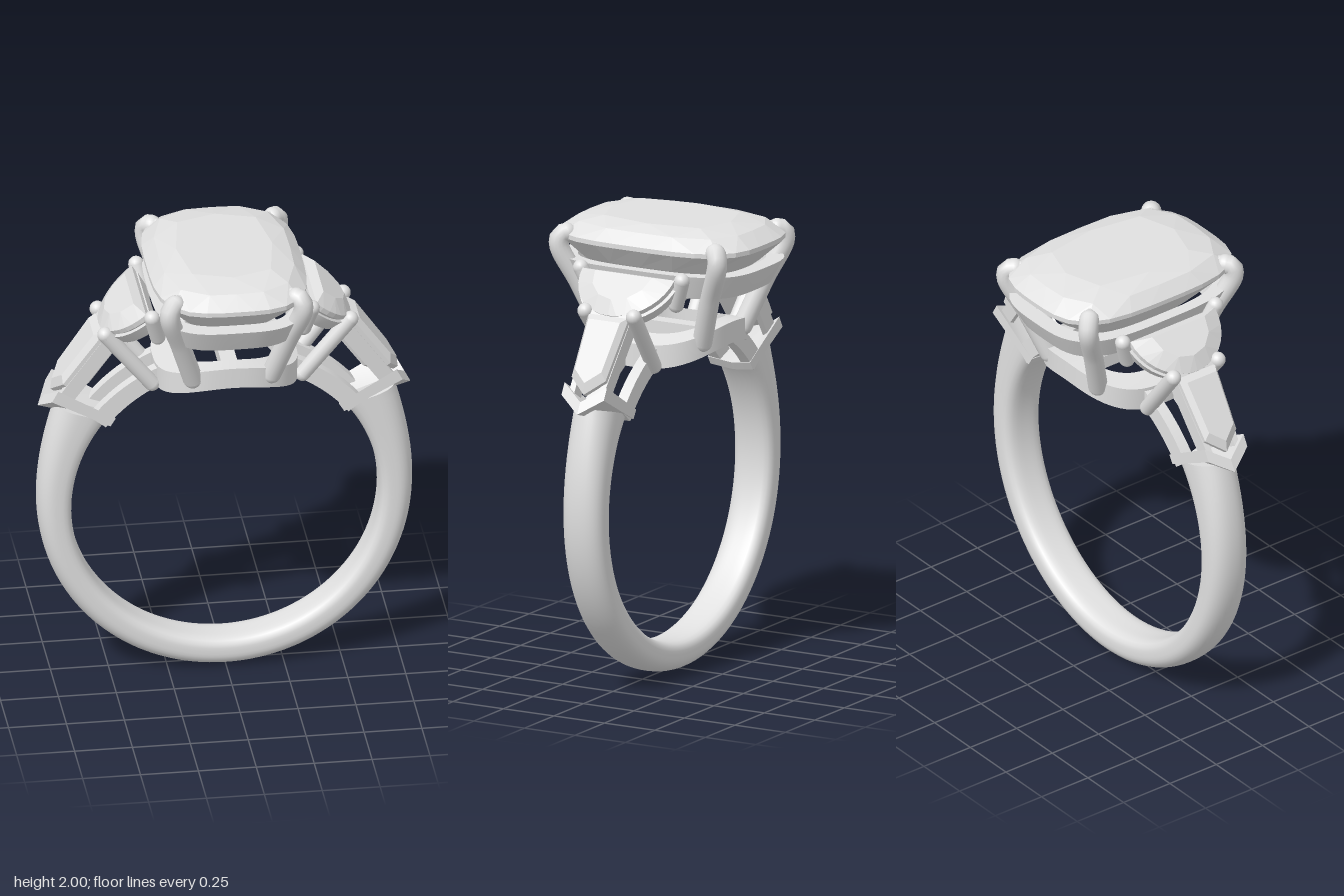
import * as THREE from 'three';
import { mergeGeometries, toCreasedNormals } from 'three/addons/utils/BufferGeometryUtils.js';

const V = (x, y, z) => new THREE.Vector3(x, y, z);

// Solid skinned over cross-sections; wrap joins last to first, otherwise the ends are capped.
function loft(sections, { wrap = false, crease = 0.6 } = {}) {
  const n = sections[0].length, m = sections.length, pts = sections.flat(), idx = [];
  for (let j = 0; j < (wrap ? m : m - 1); j++) {
    for (let i = 0; i < n; i++) {
      const a = j * n + i, b = j * n + (i + 1) % n;
      const c = ((j + 1) % m) * n + i, d = ((j + 1) % m) * n + (i + 1) % n;
      idx.push(a, b, d, a, d, c);
    }
  }
  if (!wrap) {
    for (const j of [0, m - 1]) {
      const mid = sections[j].reduce((s, p) => s.add(p), V(0, 0, 0)).divideScalar(n);
      const k = pts.push(mid) - 1;
      for (let i = 0; i < n; i++) {
        const a = j * n + i, b = j * n + (i + 1) % n;
        if (j === 0) idx.push(k, b, a); else idx.push(k, a, b);
      }
    }
  }
  // Turn the faces outward using the signed volume
  let volume = 0;
  for (let i = 0; i < idx.length; i += 3) {
    volume += pts[idx[i]].dot(V(0, 0, 0).crossVectors(pts[idx[i + 1]], pts[idx[i + 2]]));
  }
  if (volume < 0) idx.reverse();
  const g = new THREE.BufferGeometry().setFromPoints(pts);
  g.setIndex(idx);
  if (crease > 0) return toCreasedNormals(g, crease);
  const flat = g.toNonIndexed();
  flat.computeVertexNormals();
  return flat;
}

// Rings are [scale, height, snap]; snapping merges neighbouring corners into triangular facets.
function ringSections(outline, n, rings) {
  return rings.map(([s, h, snap = 1]) => Array.from({ length: n }, (_, i) =>
    outline(Math.round(i / snap) * snap, s, h)));
}

// Round rod with rounded ends along a path
function rod(points, radius) {
  const path = new THREE.CatmullRomCurve3(points);
  const ball = p => new THREE.SphereGeometry(radius, 16, 12).translate(p.x, p.y, p.z);
  return mergeGeometries([
    new THREE.TubeGeometry(path, points.length > 2 ? 24 : 2, radius, 16),
    ball(points[0]), ball(points[points.length - 1]),
  ]);
}

export function createModel() {
  const root = new THREE.Group();
  const metal = new THREE.MeshStandardMaterial({ color: 0xe0e0e0 });
  metal.name = 'polished metal';
  const gem = new THREE.MeshStandardMaterial({ color: 0xe0e0e0 });
  gem.name = 'clear stone';
  const add = (name, geometry, material = metal) => {
    const mesh = new THREE.Mesh(geometry, material);
    mesh.name = name;
    root.add(mesh);
  };
  const CY = 0.8, R = 0.665; // finger hole

  // Shank: thickens towards the shoulders
  const shank = [];
  for (let j = 0; j <= 96; j++) {
    const t = j / 48 - 1, k = Math.abs(t);
    const outer = 0.8 + 0.088 * k ** 7, half = (outer - R) / 2;
    shank.push(Array.from({ length: 32 }, (_, i) => {
      const a = i / 32 * Math.PI * 2, c = Math.cos(a), s = Math.sin(a);
      const e = c > 0 ? 2.3 : 4;
      const q = (Math.abs(c) ** e + Math.abs(s) ** e) ** (-1 / e);
      const r = R + half + half * c * q;
      const end = THREE.MathUtils.degToRad(127 - 3 * c * q);
      const f = -Math.PI / 2 + t * end;
      return V(Math.cos(f) * r, CY + Math.sin(f) * r, 0.095 * s * q);
    }));
  }
  add('shank', loft(shank));

  // Cushion outline shared by the centre stone and its gallery
  const cushion = n => (i, s, h) => {
    const a = i / n * Math.PI * 2, c = Math.cos(a), d = Math.sin(a);
    const q = s * (Math.abs(c) ** 3.4 + Math.abs(d) ** 3.4) ** (-1 / 3.4);
    return V(0.335 * c * q, h, 0.47 * d * q);
  };
  add('centreStone', loft(ringSections(cushion(32), 32, [
    [0.62, 2.0, 4], [0.85, 1.975, 2], [1, 1.925], [1, 1.905],
    [0.8, 1.82, 2], [0.48, 1.7, 4], [0.02, 1.6, 4],
  ]), { crease: 0 }), gem);
  add('upperGallery', loft(ringSections(cushion(64), 64,
    [[0.99, 1.82], [0.97, 1.8], [0.88, 1.715], [0.75, 1.715], [0.83, 1.82]]), { wrap: true }));

  // Lower gallery: oval ring bent over the finger hole, with a cross strap
  const bentOval = (i, s, r) => {
    const a = i / 64 * Math.PI * 2, c = Math.cos(a), d = Math.sin(a);
    const q = s * (Math.abs(c) ** 2.6 + Math.abs(d) ** 2.6) ** (-1 / 2.6);
    const x = 0.31 * c * q;
    return V(x, CY + Math.sqrt(r * r - x * x), 0.295 * d * q);
  };
  add('lowerGallery', loft(ringSections(bentOval, 64,
    [[1, 0.758], [1, R], [0.72, R], [0.72, 0.758]]), { wrap: true }));
  add('galleryStrap', new THREE.BoxGeometry(0.07, 0.06, 0.5).translate(0, 1.497, 0));

  for (const sx of [1, -1]) {
    // Local frame on a shoulder: u runs outward, h along the normal
    const frame = (ox, oy, ux, uy) => (u, h, z) => V(sx * (ox + ux * u - uy * h), oy + uy * u + ux * h, z);

    // Half-moon side stone in its rim
    const moonAt = frame(0.36, 1.805, 0.77, -0.638);
    const moon = (i, s, h) => {
      const a = Math.PI * (i / 18 - 0.5);
      return moonAt(0.07 + (0.235 * Math.cos(a) - 0.07) * s, h, 0.235 * Math.sin(a) * s);
    };
    add('halfMoonStone', loft(ringSections(moon, 19, [
      [0.6, 0.045, 3], [0.97, 0.01], [0.97, -0.012], [0.55, -0.09, 3], [0.1, -0.15, 3],
    ]), { crease: 0 }), gem);
    add('halfMoonRim', loft(ringSections(moon, 19,
      [[1, -0.025], [0.88, -0.085], [0.68, -0.085], [0.8, -0.025]]), { wrap: true }));

    // Tapered baguette with a pointed outer end
    const bagAt = frame(0.545, 1.675, 0.58, -0.814);
    const corners = [[0, 0.1], [0.3, 0.084], [0.375, 0], [0.3, -0.084], [0, -0.1]];
    const baguette = (i, s, h) =>
      bagAt(0.17 + (corners[i][0] - 0.17) * s, h, corners[i][1] * s);
    add('baguetteStone', loft(ringSections(baguette, 5,
      [[0.78, 0.01], [1, -0.015], [1, -0.035], [0.6, -0.12]]), { crease: 0 }), gem);
    add('baguetteEndRail', loft([-0.1, 0.1].map(z =>
      [[-0.015, -0.01], [0.012, -0.01], [0.012, -0.09], [-0.015, -0.09]].map(([u, h]) => bagAt(u, h, z)))));

    for (const sz of [1, -1]) {
      const P = (x, y, z) => V(sx * x, y, sz * z);
      add('centreProng', rod([P(0.17, 1.5, 0.25), P(0.235, 1.71, 0.325),
        P(0.288, 1.875, 0.392), P(0.282, 1.917, 0.387), P(0.262, 1.925, 0.368)], 0.043));
      add('centreProngTip', rod([P(0.265, 1.94, 0.372), P(0.242, 1.94, 0.35)], 0.022));
      add('halfMoonProng', rod([P(0.345, 1.805, 0.25), P(0.315, 1.69, 0.205)], 0.034));
      add('baguetteProng', rod([P(0.53, 1.67, 0.12), P(0.325, 1.41, 0.1)], 0.034));

      // Rail along the side of the baguette, running into the end plate
      add('baguetteSideRail', loft([[0, 0.09], [0.37, 0.072]].map(([u, z]) =>
        [[-0.033, 0.012], [-0.033, -0.015], [-0.1, -0.015], [-0.1, 0.012]]
          .map(([h, w]) => bagAt(u, h, sz * (z + w))))));

      // Curved arm joining shank and lower gallery
      const arm = [];
      for (let j = 0; j <= 10; j++) {
        const f = THREE.MathUtils.degToRad(38 + j * 3);
        arm.push([[R, 0.05], [R, 0.1], [0.745, 0.1], [0.745, 0.05]]
          .map(([r, z]) => P(Math.cos(f) * r, CY + Math.sin(f) * r, z)));
      }
      add('shoulderArm', loft(arm));

      // Half of the V-shaped end plate
      add('endPlate', loft([
        [P(0.805, 1.285, 0), P(0.778, 1.335, 0), P(0.73, 1.4, 0.105), P(0.757, 1.35, 0.105)],
        [P(0.52, 1.2, 0), P(0.5, 1.235, 0), P(0.482, 1.252, 0.105), P(0.505, 1.215, 0.105)],
      ]));
    }
  }
  return root;
}
